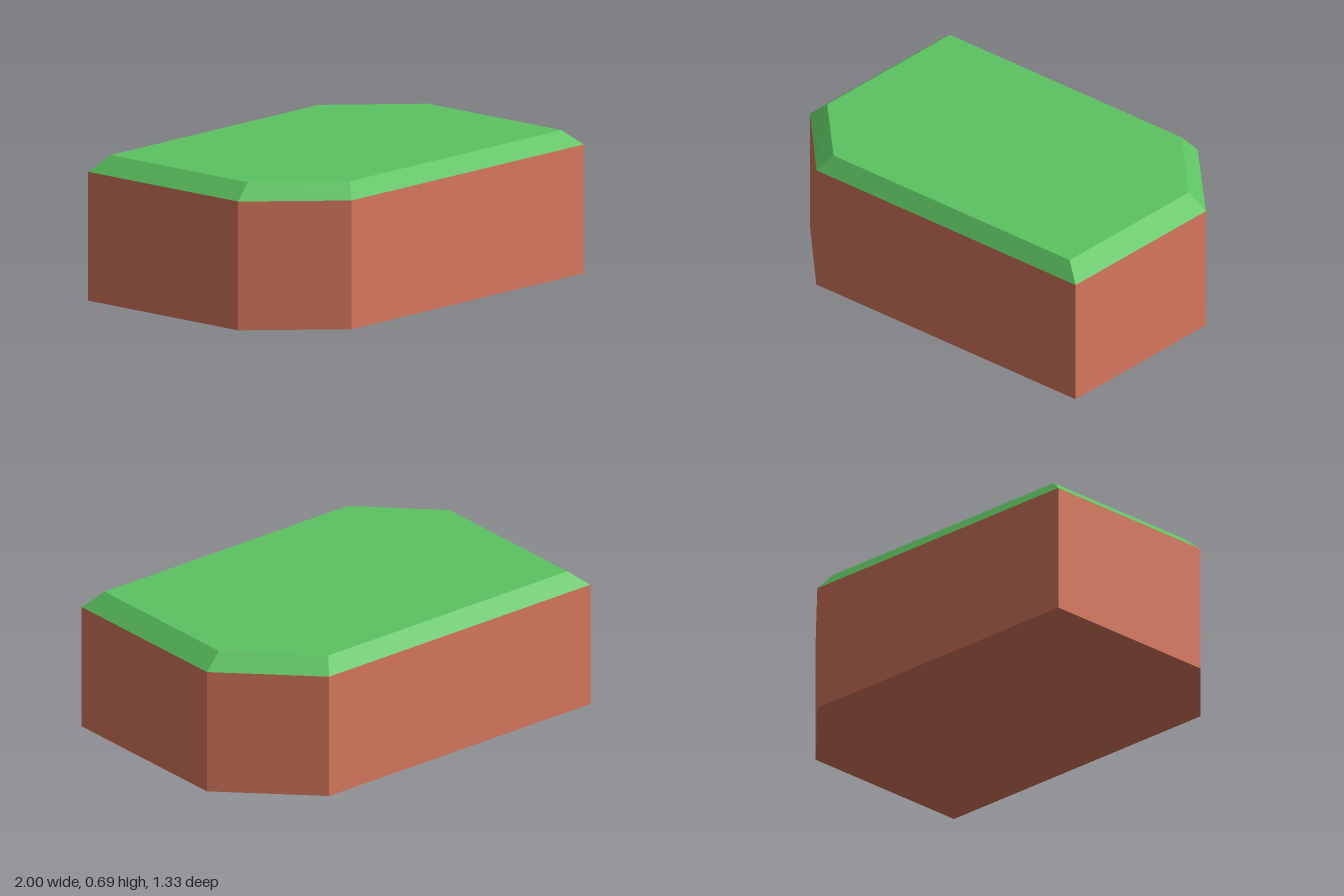
import * as THREE from 'three';

// Corner outlines as [x, z], clockwise seen from above
const outer = [[-1, -0.665], [0.59, -0.665], [1, -0.26], [1, 0.665], [-0.625, 0.665], [-1, 0.285]];
const inner = [[-0.91, -0.605], [0.545, -0.605], [0.91, -0.24], [0.91, 0.605], [-0.57, 0.605], [-0.91, 0.265]];

// Joins two outlines with flat side faces, closed by a cap at the top or bottom
function loft(lower, y0, upper, y1, capTop) {
  const positions = [];
  const lo = lower.map(([x, z]) => [x, y0, z]);
  const hi = upper.map(([x, z]) => [x, y1, z]);
  const tri = (a, b, c) => positions.push(...a, ...b, ...c);
  const n = lo.length;
  for (let i = 0; i < n; i++) {
    const j = (i + 1) % n;
    tri(lo[i], hi[i], hi[j]);
    tri(lo[i], hi[j], lo[j]);
  }
  for (let i = 1; i < n - 1; i++) {
    if (capTop) tri(hi[0], hi[i + 1], hi[i]);
    else tri(lo[0], lo[i], lo[i + 1]);
  }
  const geometry = new THREE.BufferGeometry();
  geometry.setAttribute('position', new THREE.Float32BufferAttribute(positions, 3));
  geometry.computeVertexNormals();
  return geometry;
}

export function createModel() {
  const earth = new THREE.MeshStandardMaterial({ name: 'earth', color: 0xd9795e });
  const grass = new THREE.MeshStandardMaterial({ name: 'grass', color: 0x5cc360 });
  const group = new THREE.Group();
  group.name = 'groundBlock';

  // Straight-sided earth block, closed underneath
  const base = new THREE.Mesh(loft(outer, 0, outer, 0.62, false), earth);
  base.name = 'earthBase';

  // Bevelled grass cap
  const cap = new THREE.Mesh(loft(outer, 0.62, inner, 0.695, true), grass);
  cap.name = 'grassCap';

  group.add(base, cap);
  return group;
}
